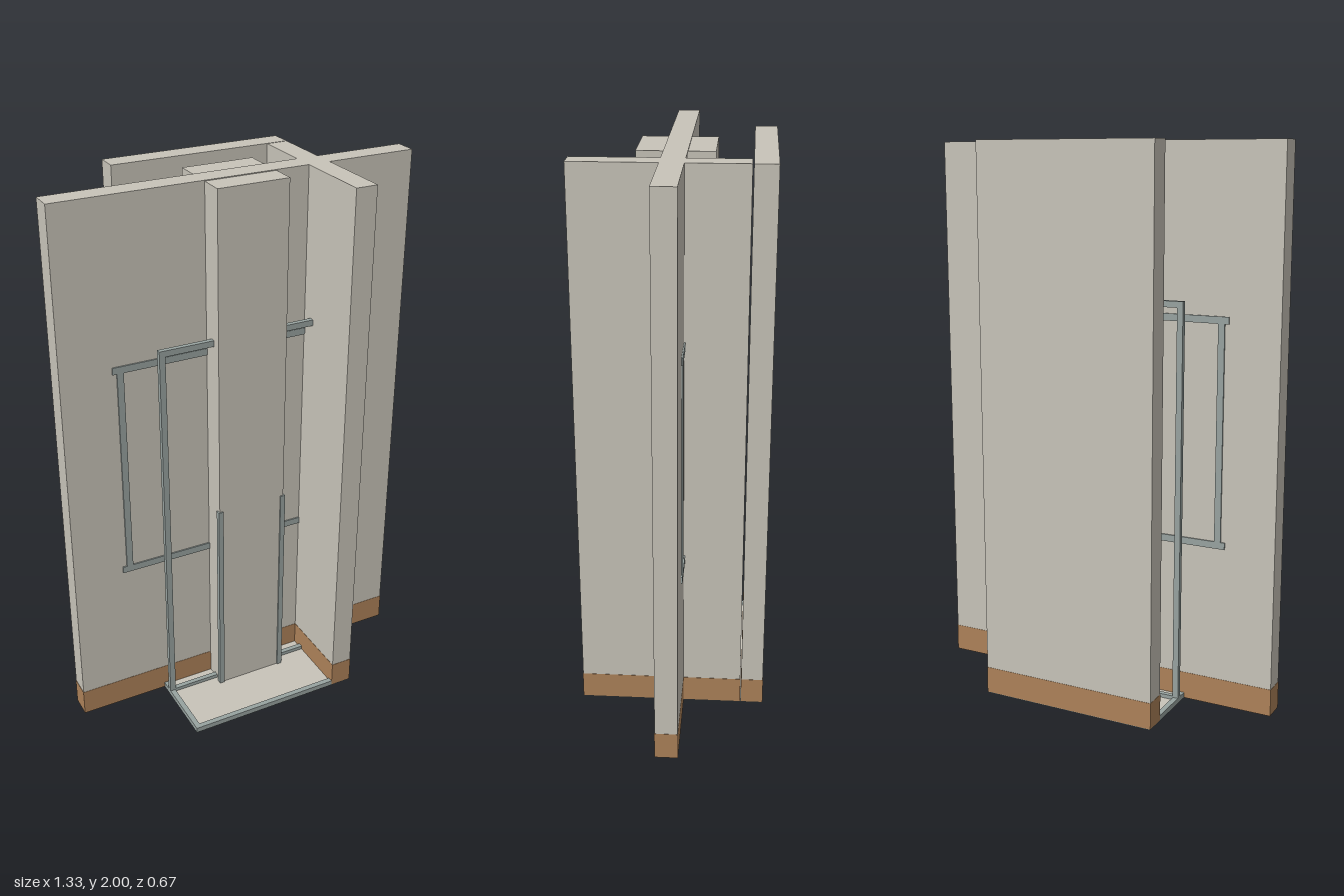
import * as THREE from 'three';

const plaster = new THREE.MeshStandardMaterial({ color: 0xc8c4b9 });
plaster.name = 'plaster';
const wood = new THREE.MeshStandardMaterial({ color: 0xad8259 });
wood.name = 'skirting wood';
const metal = new THREE.MeshStandardMaterial({ color: 0x98a3a0 });
metal.name = 'grey metal';

// Box given by its limits on each axis
function box(parent, name, mat, [x0, x1], [y0, y1], [z0, z1]) {
  const mesh = new THREE.Mesh(new THREE.BoxGeometry(x1 - x0, y1 - y0, z1 - z0), mat);
  mesh.position.set((x0 + x1) / 2, (y0 + y1) / 2, (z0 + z1) / 2);
  mesh.name = name;
  parent.add(mesh);
}

function group(parent, name) {
  const g = new THREE.Group();
  g.name = name;
  parent.add(g);
  return g;
}

export function createModel() {
  const model = new THREE.Group();
  model.name = 'partitionedBay';

  const H = 2, SKIRT = 0.1, R = 0.333, W = 0.665, T = 0.04, BASE = 0.003;
  const INNER = 0.254; // inner faces of the side and back walls

  // Walls: plaster above a wooden skirting
  const walls = group(model, 'walls');
  const wall = (name, x, z, y0) => {
    box(walls, name, plaster, x, [SKIRT, H], z);
    const e = 0.001;
    box(walls, name + 'Skirting', wood, [x[0] - e, x[1] + e], [y0, SKIRT], [z[0] - e, z[1] + e]);
  };
  wall('backWall', [-R, R], [-R, -INNER], BASE);
  wall('sideWall', [INNER, R], [-INNER + 0.004, R], BASE);
  wall('crossWall', [-R, R], [-T, T], BASE);
  wall('rightWing', [-W, -R], [-T, T], 0);
  wall('leftWing', [R, W], [-T, T], 0);

  // Floor tray with a raised metal rim on the open sides
  const tray = group(model, 'floorTray');
  box(tray, 'trayBase', metal, [-R, R], [0, BASE], [-R, R]);
  box(tray, 'floor', plaster, [-R + 0.018, INNER], [BASE, 0.011], [-INNER, R - 0.018]);
  box(tray, 'sideRim', metal, [-R, -R + 0.02], [BASE, 0.02], [-INNER, R]);
  box(tray, 'frontRim', metal, [-R + 0.02, INNER], [BASE, 0.02], [R - 0.02, R]);

  // Central pillar
  const P = 0.131;
  box(model, 'pillar', plaster, [-P, P], [0.008, 1.997], [-P, P]);

  for (const s of [-1, 1]) {
    const span = (a, b) => (s > 0 ? [a, b] : [-b, -a]);
    const side = s > 0 ? 'front' : 'back';

    // L-shaped guards on the pillar corners
    for (const t of [-1, 1]) {
      const guard = group(model, side + 'CornerGuard');
      const xs = (a, b) => (t > 0 ? [a, b] : [-b, -a]);
      box(guard, 'guardFace', metal, xs(0.118, 0.137), [0.011, 0.8], span(P, P + 0.005));
      box(guard, 'guardSide', metal, xs(P, 0.137), [0.011, 0.8], span(0.118, P));
    }

    // Thin trim frame on the cross wall
    const trim = group(model, side + 'TrimFrame');
    const tz = span(T, 0.045);
    for (const y of [0.592, 1.39]) box(trim, 'trimRail', metal, [-0.48, 0.48], [y, y + 0.025], tz);
    for (const x of [-0.4525, 0.4525]) {
      box(trim, 'trimPost', metal, [x - 0.012, x + 0.012], [0.617, 1.39], tz);
    }

    // Open screen frame: post with top and bottom rails
    const screen = group(model, side + 'ScreenFrame');
    const sz = span(0.08, 0.098);
    box(screen, 'screenPost', metal, [-R, -R + 0.022], [0.02, 1.465], sz);
    box(screen, 'topRail', metal, [-R + 0.022, INNER], [1.443, 1.465], sz);
    box(screen, 'bottomRail', metal, [-R + 0.02, INNER], [0.011, 0.025], sz);
  }

  return model;
}
